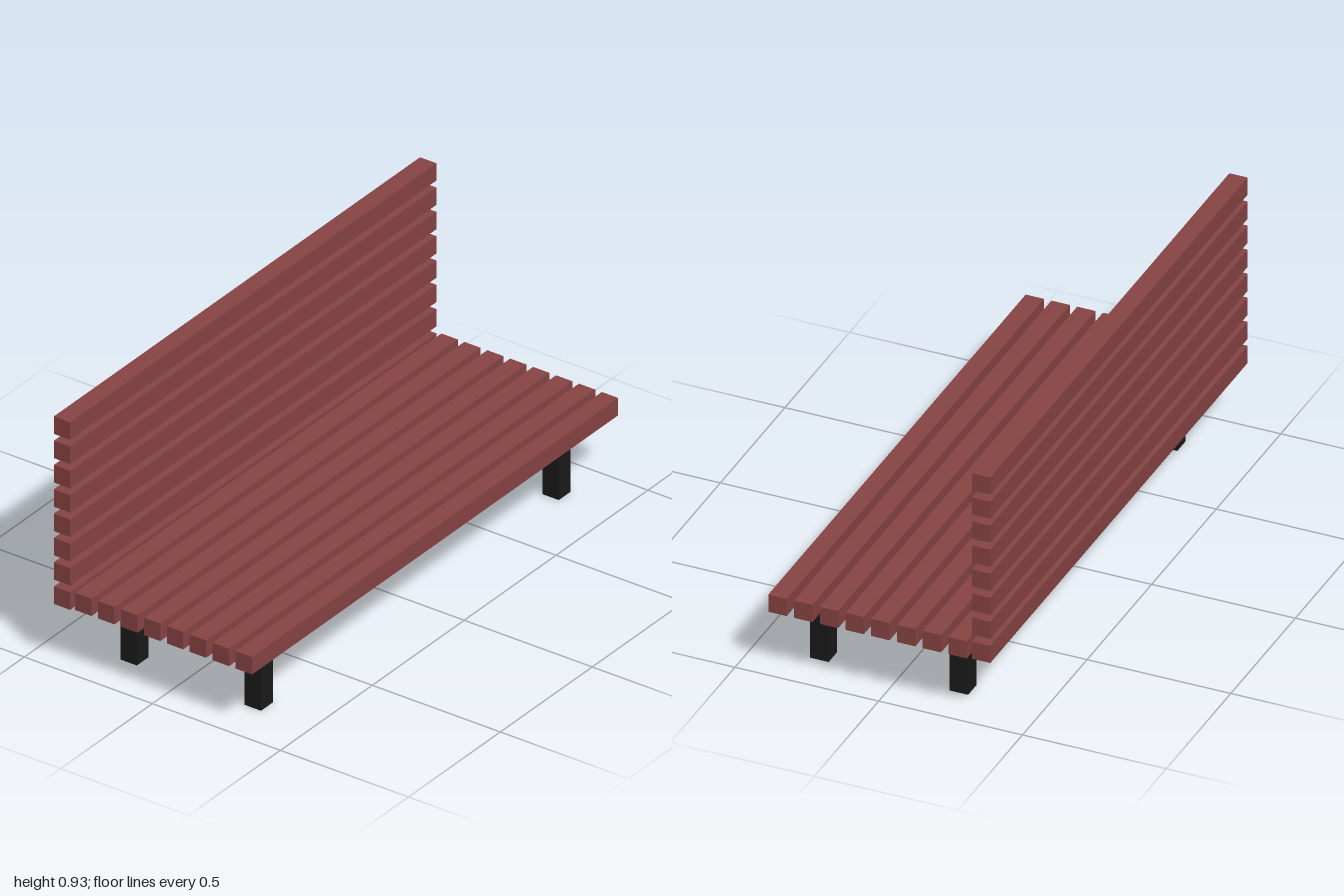
import * as THREE from 'three';

export function createModel() {
  const bench = new THREE.Group();
  bench.name = 'bench';

  const wood = new THREE.MeshStandardMaterial({ color: 0x884444 });
  const metal = new THREE.MeshStandardMaterial({ color: 0x1a1a1a });

  const T = 0.064;      // slat and leg thickness
  const STEP = 0.0895;  // slat spacing
  const COUNT = 8;
  const LEG_HEIGHT = 0.237;

  const slatGeometry = new THREE.BoxGeometry(T, T, 1.993);
  const legGeometry = new THREE.BoxGeometry(T, LEG_HEIGHT, T);

  function add(parent, name, geometry, material, x, y, z) {
    const mesh = new THREE.Mesh(geometry, material);
    mesh.name = name;
    mesh.position.set(x, y, z);
    parent.add(mesh);
  }

  function group(name) {
    const g = new THREE.Group();
    g.name = name;
    bench.add(g);
    return g;
  }

  // Seat slats side by side, backrest slats stacked along the -x edge
  const seat = group('seat');
  const backrest = group('backrest');
  for (let i = 0; i < COUNT; i++) {
    add(seat, 'seatSlat', slatGeometry, wood, 0.352 - i * STEP, 0.268, -0.0035);
    add(backrest, 'backrestSlat', slatGeometry, wood, -0.353, 0.267 + i * STEP, 0.0035);
  }

  // Four square legs
  const legs = group('legs');
  for (const x of [-0.211, 0.274]) {
    for (const z of [-0.817, 0.803]) {
      add(legs, 'leg', legGeometry, metal, x, LEG_HEIGHT / 2, z);
    }
  }

  return bench;
}
